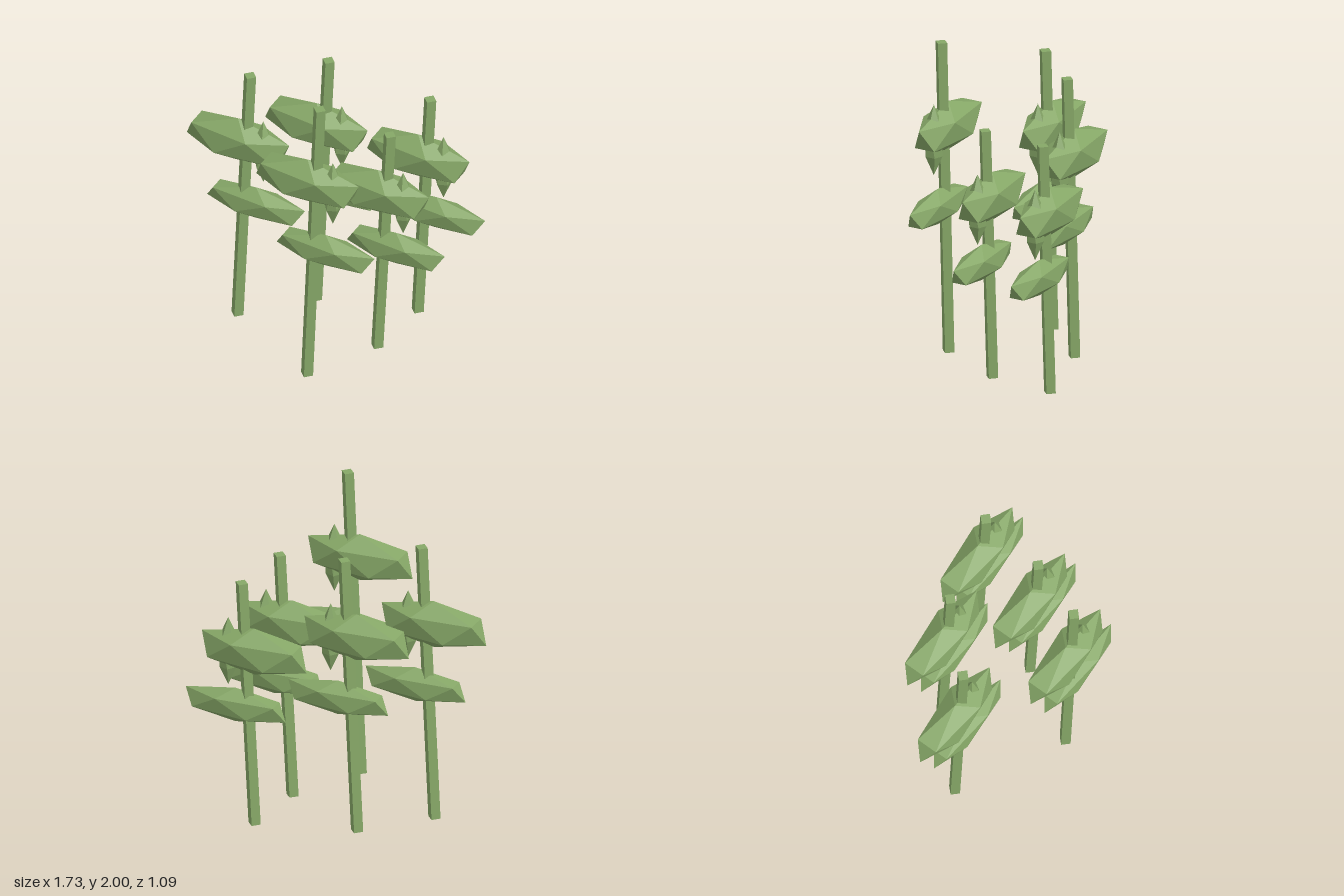
import * as THREE from 'three';

export function createModel() {
  const model = new THREE.Group();
  model.name = 'plantCluster';
  const green = new THREE.MeshStandardMaterial({ color: 0x86a767, flatShading: true });
  green.name = 'leafGreen';

  const LEAN = 0.085; // sideways shift of every stem from base to tip

  // stretched icosahedron standing on a vertex, with one upper corner towards +x
  const gem = (rx, ry, rz) => new THREE.IcosahedronGeometry(1)
    .rotateZ(-Math.atan(2 / (1 + Math.sqrt(5))))
    .scale(rx, ry, rz);

  const upperLeaf = gem(0.386, 0.154, 0.128);
  const lowerLeaf = gem(0.369, 0.113, 0.0905);
  const spike = gem(0.06, 0.225, 0.06);

  // square stem, sheared so both ends stay level
  function stemGeometry(height) {
    const geo = new THREE.CylinderGeometry(0.0405, 0.0405, height, 4).translate(0, height / 2, 0);
    geo.applyMatrix4(new THREE.Matrix4().makeShear(0, 0, LEAN / height, 0, 0, 0));
    const p = geo.attributes.position;
    if (Math.abs(p.getX(0)) < 0.01) { // make sure the lean is along x
      for (let i = 0; i < p.count; i++) p.setX(i, p.getX(i) + LEAN * p.getY(i) / height);
    }
    geo.computeVertexNormals();
    return geo;
  }

  function add(group, name, geometry, x, y) {
    const mesh = new THREE.Mesh(geometry, green);
    mesh.name = name;
    mesh.position.set(x, y, 0);
    group.add(mesh);
  }

  // base x, base z, height of each stalk
  const stalks = [
    [0.123, 0.433, 2.0],
    [-0.525, 0.095, 1.8],
    [0.362, -0.01, 1.6],
    [-0.182, -0.257, 1.8],
    [0.409, -0.436, 1.6],
  ];

  for (const [x, z, h] of stalks) {
    const stalk = new THREE.Group();
    stalk.name = 'stalk';
    stalk.position.set(x, 0, z);
    add(stalk, 'stem', stemGeometry(h), 0, 0);
    add(stalk, 'upperLeaf', upperLeaf, 0.003, 0.7215 * h);
    add(stalk, 'lowerLeaf', lowerLeaf, 0.125, 0.482 * h);
    add(stalk, 'spike', spike, 0.174, 0.702 * h);
    model.add(stalk);
  }
  return model;
}
